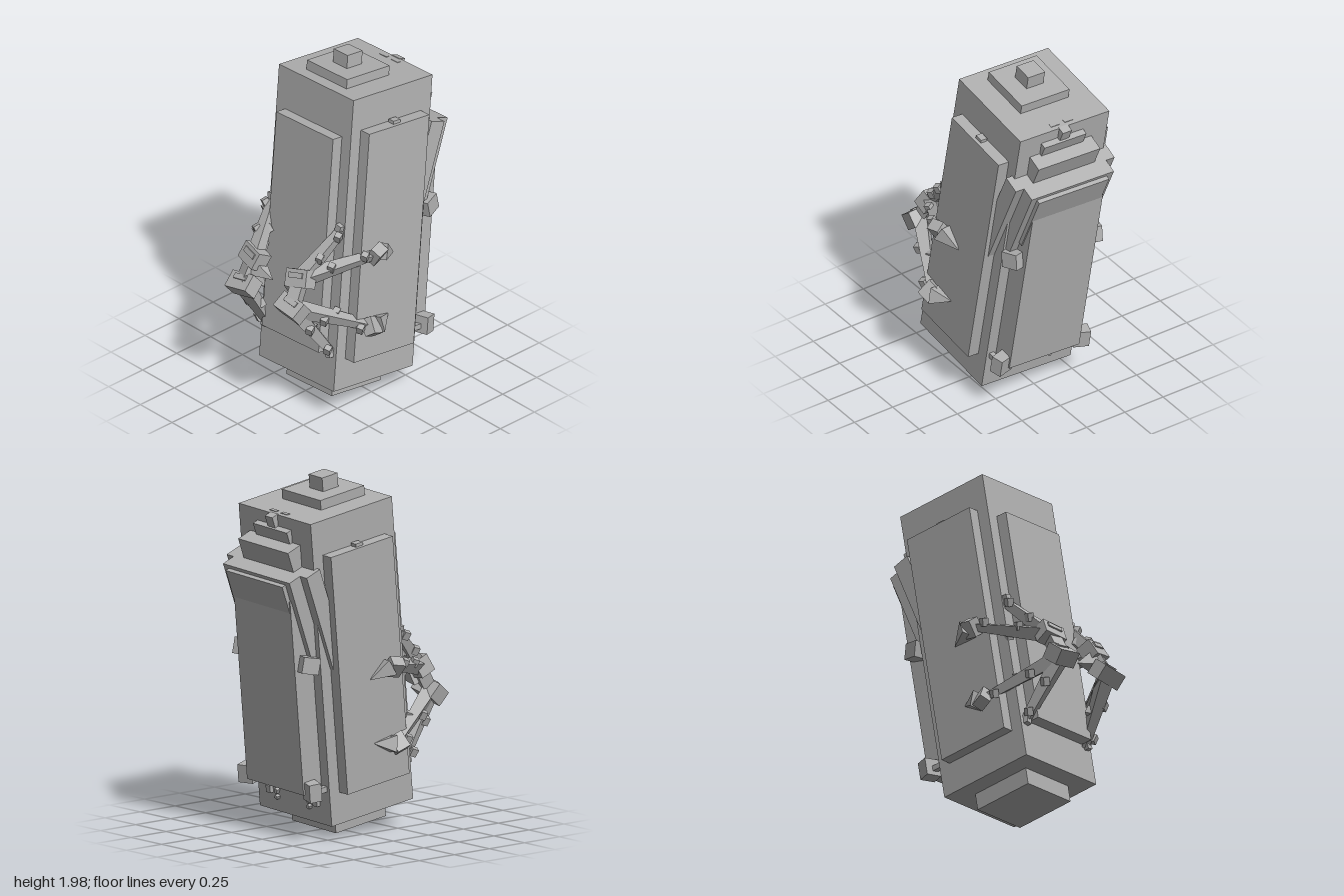
import * as THREE from 'three';

export function createModel() {
  const model = new THREE.Group();
  const grey = new THREE.MeshStandardMaterial({ color: 0xb0b0b0 });
  grey.name = 'plain grey';
  grey.flatShading = true;

  // Box given by size, centre and rotation
  function box(parent, name, size, pos, rot = [0, 0, 0]) {
    const mesh = new THREE.Mesh(new THREE.BoxGeometry(...size), grey);
    mesh.name = name;
    mesh.position.set(...pos);
    mesh.rotation.set(...rot);
    parent.add(mesh);
    return mesh;
  }

  // Four-sided tapered bar from a to b
  function bar(parent, name, a, b, r0, r1) {
    const from = new THREE.Vector3(...a), to = new THREE.Vector3(...b);
    const dir = to.clone().sub(from);
    const geo = new THREE.CylinderGeometry(r1, r0, dir.length(), 4);
    geo.rotateY(Math.PI / 4);
    const mesh = new THREE.Mesh(geo, grey);
    mesh.name = name;
    mesh.position.copy(from).add(to).multiplyScalar(0.5);
    mesh.quaternion.setFromUnitVectors(new THREE.Vector3(0, 1, 0), dir.normalize());
    parent.add(mesh);
    return mesh;
  }

  // Leaning frame that carries everything
  const body = new THREE.Group();
  body.name = 'leaningBody';
  body.position.set(-0.011, 0.985, -0.055);
  body.rotation.set(-0.136, 0, 0.054);
  model.add(body);

  // Trunk with stepped ends
  box(body, 'trunk', [0.585, 1.72, 0.585], [0, 0, 0]);
  box(body, 'topStep', [0.315, 0.06, 0.315], [0, 0.885, 0.06]);
  box(body, 'topKnob', [0.11, 0.085, 0.11], [-0.003, 0.95, 0.065]);
  box(body, 'bottomStep', [0.355, 0.1, 0.36], [0, -0.905, 0.01]);

  // Raised panels
  box(body, 'frontPanel', [0.445, 1.26, 0.07], [0, -0.008, 0.323]);
  box(body, 'backPanel', [0.46, 1.1, 0.14], [0, -0.11, -0.353]);
  for (const s of [1, -1]) {
    box(body, 'sidePanel', [0.07, 1.35, 0.445], [s * 0.325, -0.008, 0]);
    box(body, 'sidePanelNub', [0.04, 0.03, 0.05], [s * 0.32, 0.67, 0]);
    // Back corner blocks and small studs
    box(body, 'upperBackBlock', [0.08, 0.09, 0.1], [s * 0.26, 0.07, -0.35], [0.3, s * 0.3, 0]);
    box(body, 'lowerBackBlock', [0.09, 0.1, 0.07], [s * 0.26, -0.64, -0.385], [0, s * 0.3, 0]);
    box(body, 'lowerBackPeg', [0.03, 0.03, 0.1], [s * 0.26, -0.65, -0.32]);
    box(body, 'backStud', [0.035, 0.04, 0.03], [s * 0.19, -0.74, -0.3]);
    box(body, 'backStud', [0.02, 0.025, 0.03], [s * 0.13, -0.74, -0.3], [0, 0, 0.4]);
    box(body, 'backStud', [0.02, 0.02, 0.03], [s * 0.13, -0.775, -0.3], [0, 0, 0.4]);
    box(body, 'topSlit', [0.052, 0.01, 0.022], [s * 0.045, 0.858, -0.255]);
  }

  // Layered hatch leaning out of the back
  const hatch = new THREE.Group();
  hatch.name = 'backHatch';
  hatch.position.set(0.008, 0.58, -0.367);
  hatch.rotation.x = -0.248;
  body.add(hatch);
  box(hatch, 'hatchBase', [0.65, 0.58, 0.1], [0, -0.29, 0.05]);
  box(hatch, 'hatchMiddle', [0.54, 0.48, 0.08], [0, -0.24, -0.04]);
  box(hatch, 'hatchFace', [0.46, 0.38, 0.025], [0, -0.21, -0.092]);
  box(hatch, 'hatchStep', [0.405, 0.12, 0.12], [0, 0.06, 0.074]);
  box(hatch, 'hatchUpperStep', [0.275, 0.07, 0.08], [0, 0.155, 0.13]);
  box(hatch, 'hatchKnob', [0.06, 0.07, 0.045], [0, 0.22, 0.125]);

  // Mirrored clusters of limbs at the front corners
  for (const s of [1, -1]) {
    const cluster = new THREE.Group();
    cluster.name = s > 0 ? 'leftLimbs' : 'rightLimbs';
    body.add(cluster);
    const p = (x, y, z) => [s * x, y, z];
    const r = (x, y, z) => [x, s * y, s * z];

    const upper = p(0.18, -0.18, 0.49), lower = p(0.19, -0.335, 0.55);

    // Heads with a thin raised plate
    const upperHead = box(cluster, 'upperHead', [0.14, 0.1, 0.09], upper, r(-0.35, 0.1, 0.25));
    box(upperHead, 'headPlate', [0.09, 0.03, 0.012], [0, 0.015, 0.047]);
    const lowerHead = box(cluster, 'lowerHead', [0.16, 0.1, 0.09], lower, r(-0.75, 0.1, -0.12));
    box(lowerHead, 'headPlate', [0.09, 0.03, 0.012], [0, 0.02, 0.047]);
    bar(cluster, 'innerSpike', p(0.16, -0.235, 0.49), p(0.046, -0.275, 0.475), 0.065, 0.002);
    bar(cluster, 'neck', upper, lower, 0.05, 0.05);

    // Limbs: start, end, thickness at both ends
    const limbs = [
      ['upperOuterLimb', upper, p(0.395, -0.047, 0.153), 0.055, 0.028],
      ['upperInnerLimb', upper, p(0.266, 0.083, 0.29), 0.05, 0.03],
      ['lowerOuterLimb', lower, p(0.386, -0.478, 0.125), 0.055, 0.028],
      ['lowerInnerLimb', lower, p(0.247, -0.644, 0.283), 0.055, 0.03],
    ];
    limbs.forEach(([name, a, b, r0, r1], i) => {
      bar(cluster, name, a, b, r0, r1);
      // Small studs alternating along the limb
      [0.35, 0.58, 0.8].forEach((t, k) => {
        const side = k % 2 ? -1 : 1;
        const at = a.map((v, j) => v + (b[j] - v) * t);
        at[0] += s * 0.035 * (side > 0 ? 1 : -0.6);
        at[1] += 0.028 * side * (i < 2 ? 1 : -1);
        box(cluster, 'limbStud', [0.036, 0.045, 0.036], at, r(0.5, 0.3, -0.4));
      });
    });
    box(cluster, 'limbTip', [0.04, 0.06, 0.04], p(0.262, 0.09, 0.3), r(0, 0, -0.2));
    box(cluster, 'limbTip', [0.035, 0.06, 0.04], p(0.25, -0.635, 0.3), r(0, 0, 0.2));

    // End blocks with spikes pointing backwards
    box(cluster, 'upperClawBlock', [0.065, 0.095, 0.08], p(0.395, -0.047, 0.14), r(0.3, 0.2, -0.65));
    bar(cluster, 'upperClaw', p(0.39, -0.04, 0.11), p(0.367, -0.085, -0.01), 0.065, 0.003);
    box(cluster, 'lowerClawBlock', [0.065, 0.095, 0.08], p(0.39, -0.478, 0.135), r(-0.3, 0.2, 0.65));
    bar(cluster, 'lowerClaw', p(0.386, -0.475, 0.1), p(0.36, -0.45, -0.01), 0.065, 0.003);
  }

  return model;
}
